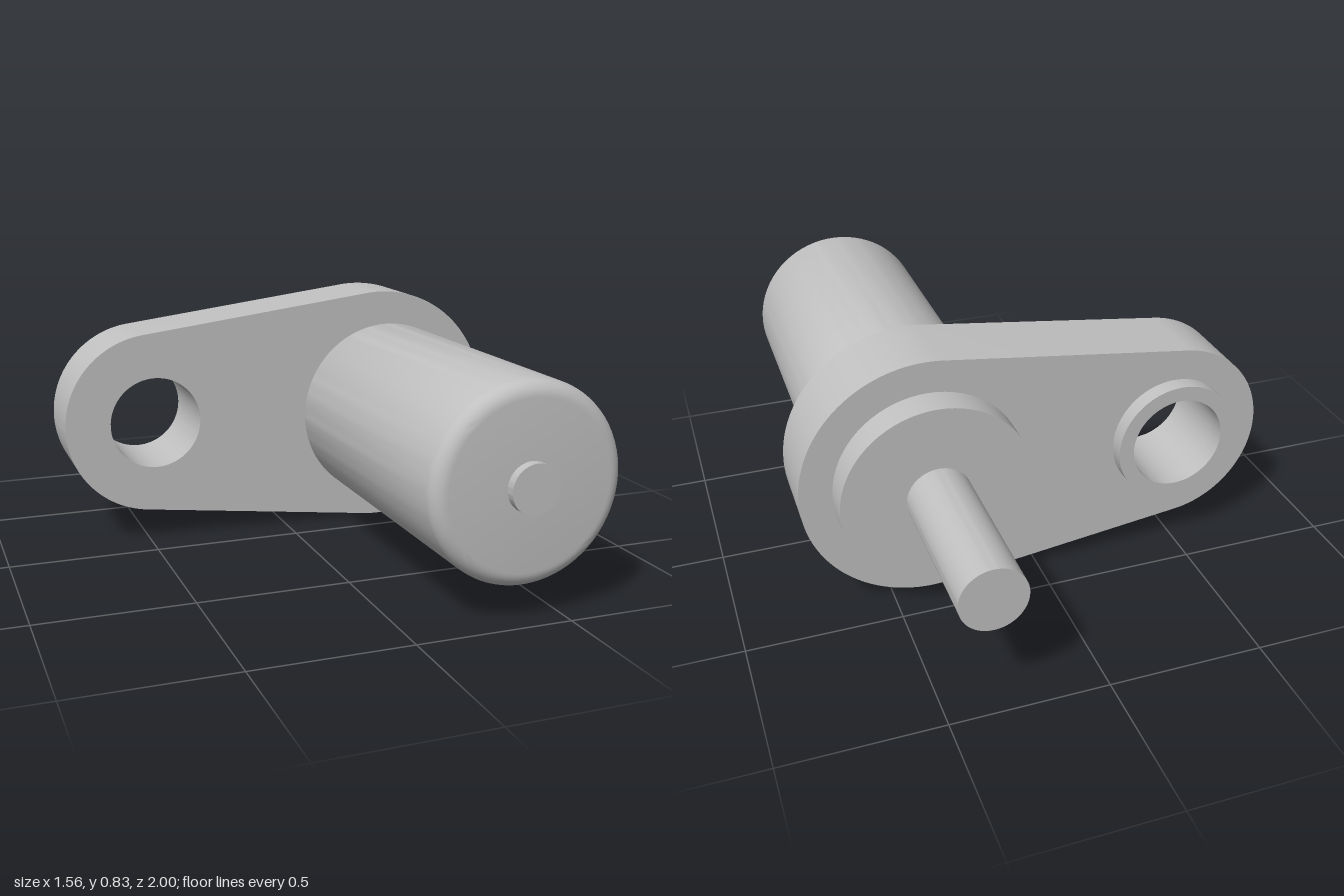
import * as THREE from 'three';
import { toCreasedNormals } from 'three/addons/utils/BufferGeometryUtils.js';

const CY = 0.415;            // height of both axes
const BIG = { x: 0.362, r: 0.415 };
const SMALL = { x: -0.468, r: 0.31 };
const BORE = 0.157;

export function createModel() {
  const model = new THREE.Group();
  const metal = new THREE.MeshStandardMaterial({ color: 0xc0c0c0 });
  metal.name = 'grey metal';

  const add = (name, geometry, x, z) => {
    const mesh = new THREE.Mesh(toCreasedNormals(geometry, 0.5), metal);
    mesh.name = name;
    mesh.position.set(x, CY, z);
    model.add(mesh);
  };

  // Solid of revolution on the main axis, with optional rounded end edges
  const turned = (name, r, z0, z1, backRound = 0, frontRound = 0) => {
    const pts = [new THREE.Vector2(0, z0)];
    const corner = (round, z, from) => {
      const n = round ? 8 : 0;
      for (let i = 0; i <= n; i++) {
        const a = from + (n ? (i / n) * Math.PI / 2 : 0);
        pts.push(new THREE.Vector2(r - round + round * Math.cos(a), z + round * Math.sin(a)));
      }
    };
    corner(backRound, z0 + backRound, -Math.PI / 2);
    corner(frontRound, z1 - frontRound, 0);
    pts.push(new THREE.Vector2(0, z1));
    if (!backRound) pts[1].set(r, z0);
    add(name, new THREE.LatheGeometry(pts, 72).rotateX(Math.PI / 2), BIG.x, 0);
  };

  const circle = (x, r) => new THREE.Path().absarc(x, 0, r, 0, Math.PI * 2, true);
  const extrude = (shape, depth) =>
    new THREE.ExtrudeGeometry(shape, { depth, bevelEnabled: false, curveSegments: 48 });

  // Teardrop arm: two arcs joined by their common tangents
  const t = Math.acos((SMALL.r - BIG.r) / (BIG.x - SMALL.x));
  const outline = new THREE.Shape();
  outline.absarc(BIG.x, 0, BIG.r, -t, t, false);
  outline.absarc(SMALL.x, 0, SMALL.r, t, Math.PI * 2 - t, false);
  outline.closePath();
  outline.holes.push(circle(SMALL.x, BORE));
  add('arm', extrude(outline, 0.255), 0, -0.375);

  // Raised ring around the bore, on the back
  const ring = new THREE.Shape().absarc(0, 0, 0.207, 0, Math.PI * 2, false);
  ring.holes.push(circle(0, BORE));
  add('boreRing', extrude(ring, 0.055), SMALL.x, -0.43);

  // Parts on the main axis, back to front
  turned('shaft', 0.104, -1, -0.48);
  turned('backCollar', 0.31, -0.48, -0.375);
  turned('neck', 0.236, -0.12, -0.065);
  turned('grip', 0.31, -0.065, 0.97, 0.015, 0.05);
  turned('endPin', 0.077, 0.97, 1);

  return model;
}
